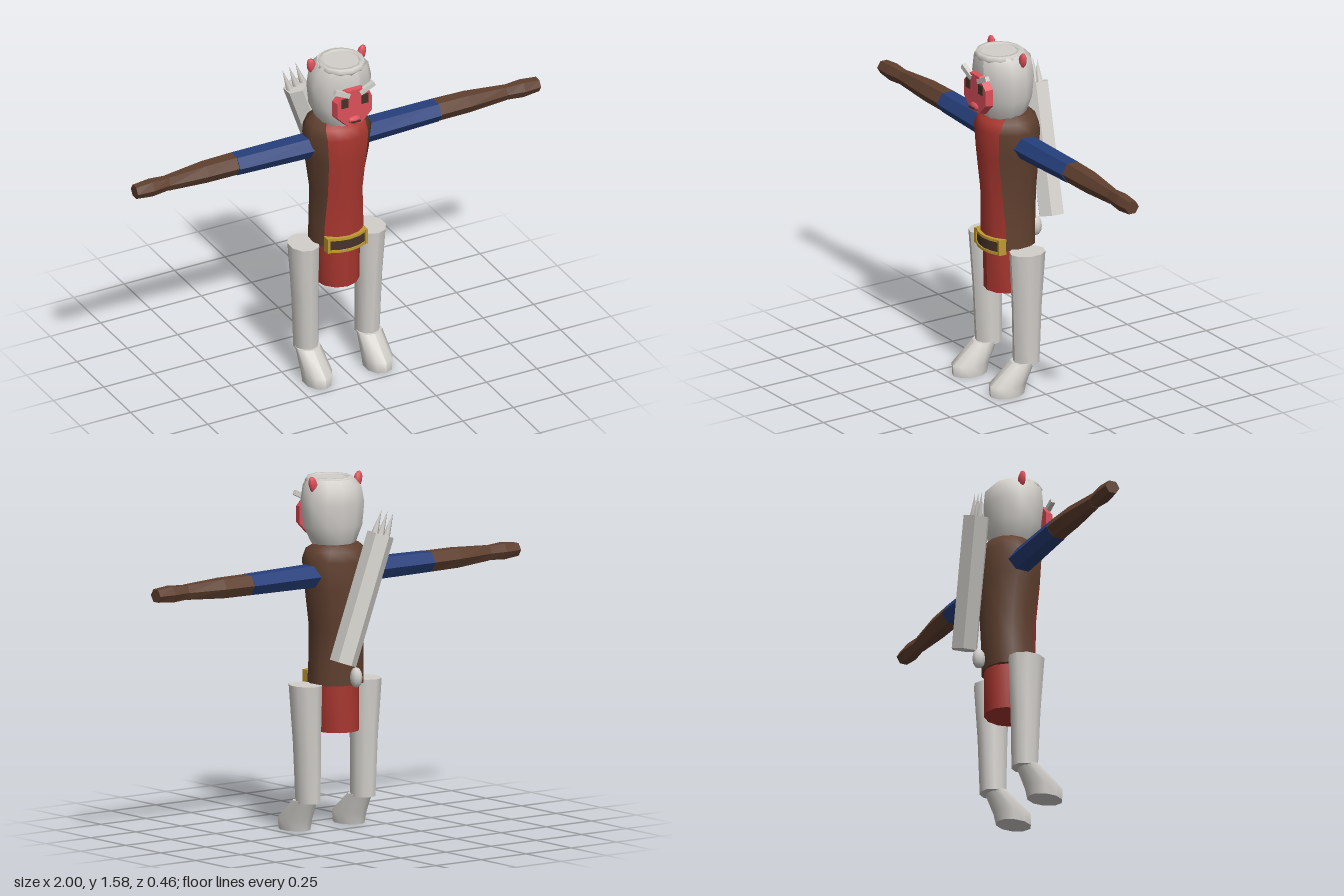
import * as THREE from 'three';

const mat = (name, color) => {
  const m = new THREE.MeshStandardMaterial({ color });
  m.name = name;
  return m;
};

// Skin elliptical sections [y, rx, rz, cx, cz], listed bottom to top.
// range(section) gives start and end angle (0 = front, rising towards +x).
function loft(sections, sides, { range = () => [0, Math.PI * 2], flat = false, caps = true } = {}) {
  const pos = [], index = [], n = sides + 1;
  const ring = (s) => {
    const [a, b] = range(s);
    const [y, rx, rz, cx = 0, cz = 0] = s;
    for (let i = 0; i <= sides; i++) {
      const t = a + (b - a) * i / sides;
      pos.push(cx + rx * Math.sin(t), y, cz + rz * Math.cos(t));
    }
  };
  sections.forEach(ring);
  for (let j = 0; j < sections.length - 1; j++) {
    for (let i = 0; i < sides; i++) {
      const p = j * n + i, q = p + n;
      index.push(p, p + 1, q, p + 1, q + 1, q);
    }
  }
  if (caps) {
    [sections[0], sections[sections.length - 1]].forEach((s, k) => {
      const base = pos.length / 3;
      ring(s);
      pos.push(s[3] || 0, s[0], s[4] || 0);
      for (let i = 0; i < sides; i++) {
        if (k) index.push(base + i, base + i + 1, base + n);
        else index.push(base + i + 1, base + i, base + n);
      }
    });
  }
  let g = new THREE.BufferGeometry();
  g.setAttribute('position', new THREE.Float32BufferAttribute(pos, 3));
  g.setIndex(index);
  if (flat) g = g.toNonIndexed();
  g.computeVertexNormals();
  return g;
}

export function createModel() {
  const model = new THREE.Group();
  model.name = 'archer';
  const fur = mat('pale fur', 0xd3d0cb);
  const coatBrown = mat('coat brown', 0x60402f);
  const red = mat('tunic red', 0xa8362f);
  const pink = mat('face pink', 0xdb505a);
  const blue = mat('sleeve blue', 0x263f7c);
  const gold = mat('buckle gold', 0xc09a32);
  const dark = mat('dark brown', 0x47332a);

  const add = (name, geo, material, x = 0, y = 0, z = 0, parent = model) => {
    const m = new THREE.Mesh(geo, material);
    m.name = name;
    m.position.set(x, y, z);
    parent.add(m);
    return m;
  };
  const box = (w, h, d) => new THREE.BoxGeometry(w, h, d);

  // Torso: red front panel and brown coat share sections; last value is half the panel width
  const torso = [
    [0.65, 0.128, 0.118, 0, 0.038, 0.1],
    [0.75, 0.122, 0.12, 0, 0.036, 0.096],
    [0.91, 0.119, 0.127, 0, 0.034, 0.086],
    [1.08, 0.146, 0.138, 0, 0.037, 0.092],
    [1.2, 0.158, 0.141, 0, 0.04, 0.1],
    [1.245, 0.136, 0.126, 0, 0.04, 0.098],
    [1.27, 0.105, 0.092, 0, 0.032, 0.078],
  ];
  const half = (s) => Math.asin(s[5] / s[1]);
  add('shirtFront', loft(torso, 4, { range: (s) => [-half(s), half(s)] }), red);
  add('coat', loft(torso, 9, { range: (s) => [half(s), Math.PI * 2 - half(s)] }), coatBrown);
  add('skirt', loft([[0.44, 0.1, 0.108, 0, 0.037], [0.7, 0.102, 0.112, 0, 0.04]], 12), red);

  // Belt plate and buckle frame, bent around the waist
  const bend = (g) => {
    const p = g.attributes.position;
    for (let i = 0; i < p.count; i++) p.setZ(i, p.getZ(i) - 3 * p.getX(i) ** 2);
    g.computeVertexNormals();
    return g;
  };
  add('beltPlate', bend(new THREE.BoxGeometry(0.19, 0.06, 0.02, 4)), dark, 0, 0.668, 0.154);
  for (const y of [0.638, 0.698]) {
    add('buckleBar', bend(new THREE.BoxGeometry(0.2, 0.012, 0.03, 4)), gold, 0, y, 0.155);
  }
  for (const s of [-1, 1]) {
    add('buckleSide', box(0.014, 0.07, 0.036), gold, s * 0.093, 0.668, 0.13);
  }

  // Head with flat crown and circlet
  const turn = Math.PI / 12;
  add('head', loft([
    [1.235, 0.075, 0.075, 0, 0.06],
    [1.28, 0.106, 0.1, 0, 0.058],
    [1.35, 0.138, 0.122, 0, 0.06],
    [1.45, 0.148, 0.132, 0, 0.062],
    [1.52, 0.132, 0.128, 0, 0.064],
    [1.555, 0.105, 0.105, 0, 0.075],
  ], 12, { range: () => [turn, turn + Math.PI * 2] }), fur);
  const circlet = new THREE.TorusGeometry(0.092, 0.018, 6, 12).rotateX(Math.PI / 2);
  add('circlet', circlet, fur, 0, 1.545, 0.083);

  // Face plate with bevelled rim, snout and mouth
  const face = new THREE.CylinderGeometry(0.093, 0.101, 0.035, 8, 1, false, Math.PI / 8)
    .rotateX(Math.PI / 2).toNonIndexed();
  face.computeVertexNormals();
  add('face', face, pink, 0, 1.383, 0.193);
  const snout = add('snout', new THREE.SphereGeometry(1, 8, 6), pink, 0, 1.32, 0.205);
  snout.scale.set(0.036, 0.02, 0.02);
  add('mouth', box(0.042, 0.008, 0.006), dark, 0, 1.317, 0.225);

  for (const s of [-1, 1]) {
    add('eye', box(0.032, 0.045, 0.006), dark, s * 0.05, 1.414, 0.212);
    const brow = add('brow', box(0.078, 0.022, 0.02), fur, s * 0.062, 1.463, 0.207);
    brow.rotation.z = s * 0.45;
    const ear = add('ear', new THREE.SphereGeometry(1, 8, 6), pink, s * 0.124, 1.538, 0.04);
    ear.scale.set(0.022, 0.039, 0.016);
    ear.rotation.z = -s * 0.25;
  }

  // Arms: hexagonal, built along y and laid out sideways
  for (const s of [-1, 1]) {
    const arm = new THREE.Group();
    arm.name = s > 0 ? 'leftArm' : 'rightArm';
    arm.position.y = 1.137;
    arm.rotation.z = -s * Math.PI / 2;
    model.add(arm);
    const hex = (rows) => loft(rows, 6, { flat: true });
    add('sleeve', hex([[0.1, 0.056, 0.062, 0, 0.035], [0.5, 0.05, 0.058, 0, 0.026]]),
      blue, 0, 0, 0, arm);
    add('forearm', hex([[0.5, 0.05, 0.054, 0, 0.024], [0.65, 0.049, 0.05, 0, 0.026],
      [0.838, 0.037, 0.03, 0, 0.034]]), coatBrown, 0, 0, 0, arm);
    add('hand', hex([[0.838, 0.035, 0.029, 0, 0.034], [0.92, 0.041, 0.038, 0, 0.036],
      [1, 0.032, 0.034, 0, 0.036]]), coatBrown, 0, 0, 0, arm);

    // Legs and forward-leaning feet
    add('leg', loft([
      [0.13, 0.055, 0.06, s * 0.152, 0.04],
      [0.4, 0.059, 0.069, s * 0.158, 0.041],
      [0.655, 0.069, 0.084, s * 0.165, 0.042],
    ], 10), fur);
    add('foot', loft([
      [0, 0.062, 0.083, s * 0.15, 0.14],
      [0.05, 0.066, 0.09, s * 0.15, 0.135],
      [0.14, 0.058, 0.052, s * 0.152, 0.06],
    ], 10), fur);
  }

  // Tail stub
  add('tail', new THREE.SphereGeometry(1, 8, 6), fur, 0, 0.69, -0.108)
    .scale.set(0.026, 0.046, 0.031);

  // Slanted quiver with three arrow tips
  const low = new THREE.Vector3(0.092, 0.765, -0.132);
  const high = new THREE.Vector3(-0.09, 1.325, -0.167);
  const length = low.distanceTo(high);
  const quiver = new THREE.Group();
  quiver.name = 'quiver';
  quiver.position.copy(low);
  quiver.quaternion.setFromUnitVectors(new THREE.Vector3(0, 1, 0), high.clone().sub(low).normalize());
  model.add(quiver);
  add('quiverCase', loft([[0, 0.06, 0.062], [length, 0.06, 0.062]], 6, { flat: true }),
    fur, 0, 0, 0, quiver);
  for (const x of [-0.034, 0, 0.034]) {
    add('arrowTip', new THREE.ConeGeometry(0.016, 0.11, 6), fur, x, length + 0.053, 0, quiver);
  }
  return model;
}
